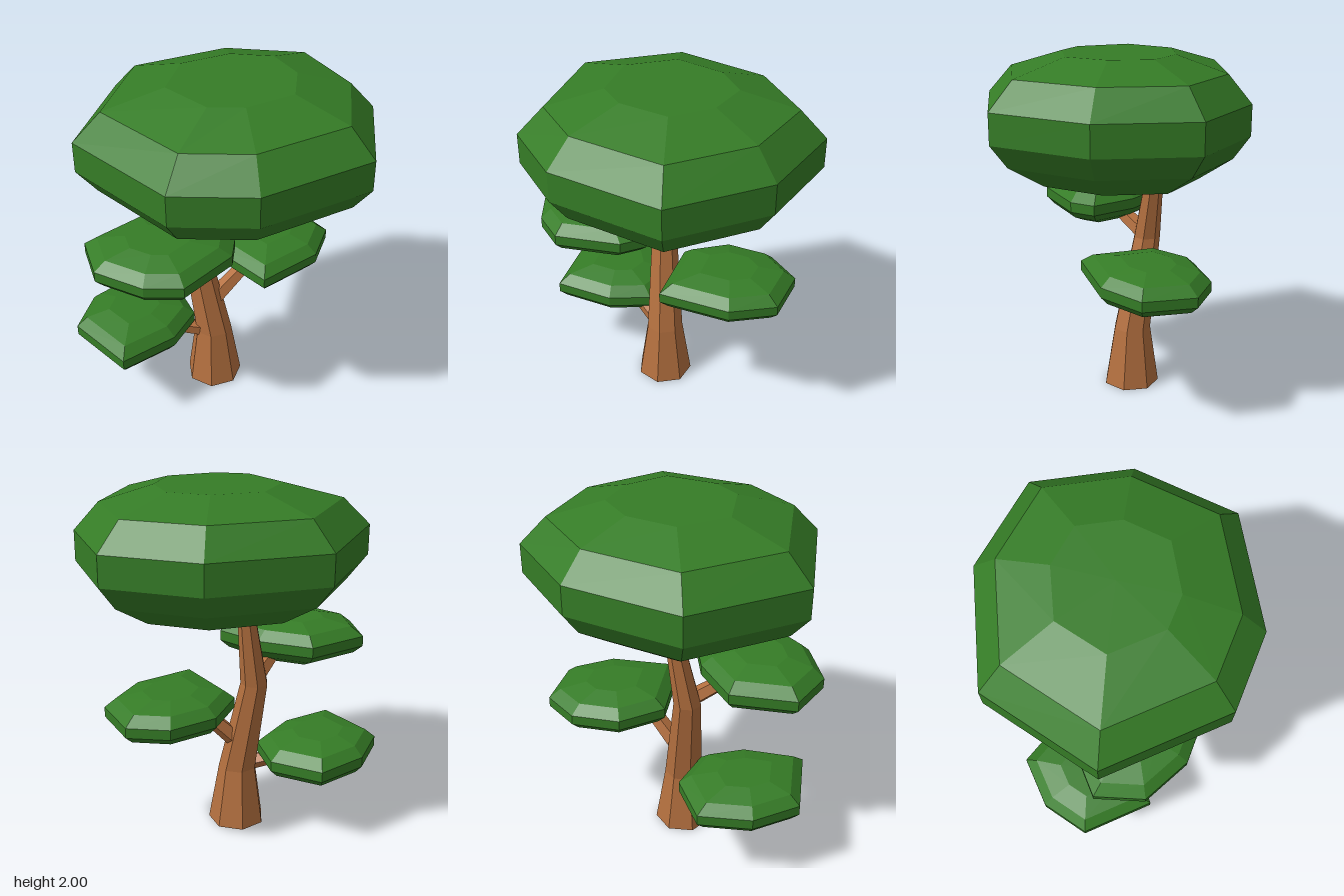
import * as THREE from 'three';

const leaf = new THREE.MeshStandardMaterial({ color: 0x357c26, flatShading: true });
const bark = new THREE.MeshStandardMaterial({ color: 0xb4703f, flatShading: true });

// Closed faceted solid through a stack of rings (each ring runs from +x towards +z)
function loft(rings) {
  const pos = [];
  const tri = (...pts) => pts.forEach((p) => pos.push(p.x, p.y, p.z));
  const n = rings[0].length;
  const mid = (ring) => ring.reduce((s, p) => s.add(p), new THREE.Vector3()).divideScalar(n);
  const bottom = rings[0], top = rings[rings.length - 1];
  const cb = mid(bottom), ct = mid(top);
  for (let j = 0; j < n; j++) {
    const k = (j + 1) % n;
    for (let i = 0; i + 1 < rings.length; i++) {
      const a = rings[i], b = rings[i + 1];
      tri(a[j], b[j], a[k]);
      tri(a[k], b[j], b[k]);
    }
    tri(cb, bottom[j], bottom[k]);
    tri(ct, top[k], top[j]);
  }
  const geo = new THREE.BufferGeometry();
  geo.setAttribute('position', new THREE.Float32BufferAttribute(pos, 3));
  geo.computeVertexNormals();
  return geo;
}

function add(group, name, geometry, material) {
  const mesh = new THREE.Mesh(geometry, material);
  mesh.name = name;
  group.add(mesh);
}

// Foliage levels: [share of height, scale of the outline]
const LEVELS = [[0, 0.61], [0.194, 0.875], [0.388, 1], [0.64, 1], [0.866, 0.82], [1, 0.43]];

// Faceted pad: plan outline shrunk about its centre at each level, slightly tilted
function foliage(outline, [cx, cz], y0, y1, [tx, tz] = [0, 0]) {
  return loft(LEVELS.map(([h, s]) => outline.map(([x, z]) => {
    const dx = (x - cx) * s, dz = (z - cz) * s;
    return new THREE.Vector3(cx + dx, y0 + (y1 - y0) * h + tx * dx + tz * dz, cz + dz);
  })));
}

// Tapered five-sided branch between two points
function branch(from, to, r0, r1) {
  const a = new THREE.Vector3(...from), b = new THREE.Vector3(...to);
  const dir = b.clone().sub(a);
  const geo = new THREE.CylinderGeometry(r1, r0, dir.length(), 5);
  geo.applyQuaternion(new THREE.Quaternion().setFromUnitVectors(
    new THREE.Vector3(0, 1, 0), dir.normalize()));
  const c = a.add(b).multiplyScalar(0.5);
  return geo.translate(c.x, c.y, c.z);
}

export function createModel() {
  const tree = new THREE.Group();
  tree.name = 'tree';

  // Bent seven-sided trunk: [x, y, z, radius]
  const trunkRings = [
    [-0.125, 0, 0.057, 0.165],
    [-0.13, 0.35, 0.057, 0.11],
    [-0.24, 0.9, 0.064, 0.079],
    [-0.24, 1.42, -0.03, 0.044],
  ].map(([x, y, z, r]) => Array.from({ length: 7 }, (_, i) => {
    const t = THREE.MathUtils.degToRad(12) + (i / 7) * Math.PI * 2;
    return new THREE.Vector3(x + r * Math.cos(t), y, z + r * Math.sin(t));
  }));
  add(tree, 'trunk', loft(trunkRings), bark);

  // Branches
  add(tree, 'lowBranch', branch([-0.14, 0.35, 0.09], [-0.37, 0.43, 0.28], 0.05, 0.04), bark);
  add(tree, 'middleBranch', branch([-0.14, 0.54, 0.02], [0, 0.76, -0.16], 0.055, 0.042), bark);
  add(tree, 'highBranch', branch([-0.23, 0.92, 0.08], [-0.19, 1.05, 0.36], 0.052, 0.04), bark);

  // Crown
  add(tree, 'crown', foliage([
    [0.06, -0.8], [0.54, -0.53], [0.8, 0], [0.49, 0.58],
    [0.11, 0.8], [-0.58, 0.63], [-0.8, -0.02], [-0.44, -0.58],
  ], [0, 0], 1.33, 2), leaf);

  // Side foliage pads
  add(tree, 'lowFoliage', foliage([
    [-0.72, 0.07], [-0.42, 0], [-0.2, 0.15], [-0.17, 0.4],
    [-0.29, 0.73], [-0.7, 0.63], [-0.79, 0.36],
  ], [-0.48, 0.37], 0.345, 0.58, [-0.02, 0.02]), leaf);
  add(tree, 'middleFoliage', foliage([
    [0.225, 0.06], [-0.2, -0.06], [-0.29, -0.32], [-0.2, -0.58],
    [0, -0.71], [0.28, -0.6], [0.35, -0.33],
  ], [0.03, -0.33], 0.685, 0.91, [0, 0.03]), leaf);
  add(tree, 'highFoliage', foliage([
    [-0.5, 0.25], [-0.2, 0.14], [0.08, 0.14], [0.15, 0.28],
    [0.09, 0.65], [-0.09, 0.76], [-0.39, 0.78], [-0.6, 0.6],
  ], [-0.21, 0.46], 0.967, 1.2), leaf);

  return tree;
}
